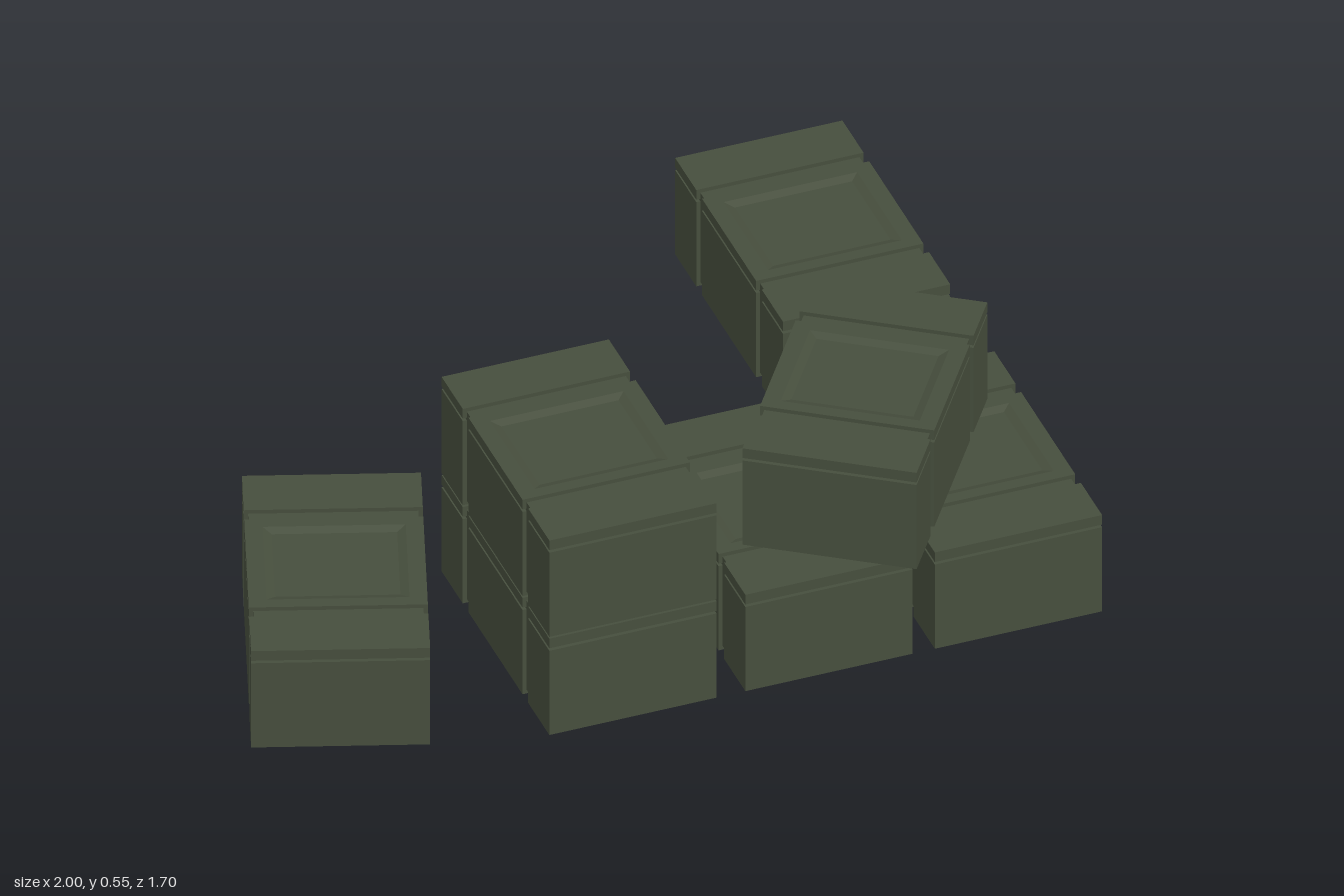
import * as THREE from 'three';

const W = 0.408, H = 0.27, L = 0.685;      // crate size
const SEAM_LOW = 0.236, SEAM_HIGH = 0.243; // gap under the lid
const GROOVE = 0.19, GROOVE_HALF = 0.018;  // strap grooves along the length
const INSET = 0.01;                        // groove depth

// Stacks rectangles [halfX, y, halfZ] from the bottom up, capped at both ends
function loftRects(rects) {
  const pos = [];
  const rings = rects.map(([x, y, z]) => [[-x, y, z], [x, y, z], [x, y, -z], [-x, y, -z]]);
  const quad = (a, b, c, d) => pos.push(...a, ...b, ...c, ...a, ...c, ...d);
  for (let i = 0; i < rings.length - 1; i++) {
    for (let k = 0; k < 4; k++) {
      const n = (k + 1) % 4;
      quad(rings[i][k], rings[i][n], rings[i + 1][n], rings[i + 1][k]);
    }
  }
  quad(...rings[rings.length - 1]);
  quad(...rings[0].slice().reverse());
  const geo = new THREE.BufferGeometry();
  geo.setAttribute('position', new THREE.Float32BufferAttribute(pos, 3));
  geo.computeVertexNormals();
  return geo;
}

const block = (hx, y0, y1, hz) => loftRects([[hx, y0, hz], [hx, y1, hz]]);

export function createModel() {
  const green = new THREE.MeshStandardMaterial({ color: 0x464e3d });
  green.name = 'olive green';

  const hw = W / 2;
  const midHalf = GROOVE - GROOVE_HALF;
  const endHalf = (L / 2 - GROOVE - GROOVE_HALF) / 2;
  const endZ = L / 2 - endHalf;

  const coreGeo = block(hw - INSET, INSET, H - INSET, L / 2 - INSET);
  const endBodyGeo = block(hw, 0, SEAM_LOW, endHalf);
  const endLidGeo = block(hw, SEAM_HIGH, H, endHalf);
  const midBodyGeo = block(hw, 0, SEAM_LOW, midHalf);
  // Middle of the lid with a shallow sunken panel
  const midLidGeo = loftRects([
    [hw, SEAM_HIGH, midHalf], [hw, H, midHalf],
    [0.163, H, 0.142], [0.143, H - 0.007, 0.122],
  ]);

  function makeCrate(name, x, y, z, turn) {
    const crate = new THREE.Group();
    crate.name = name;
    const add = (part, geo, pz = 0) => {
      const mesh = new THREE.Mesh(geo, green);
      mesh.name = part;
      mesh.position.z = pz;
      crate.add(mesh);
    };
    add('core', coreGeo);
    add('middleBody', midBodyGeo);
    add('middleLid', midLidGeo);
    for (const [side, s] of [['front', 1], ['back', -1]]) {
      add(side + 'Body', endBodyGeo, s * endZ);
      add(side + 'Lid', endLidGeo, s * endZ);
    }
    crate.position.set(x, y, z);
    crate.rotation.y = turn;
    return crate;
  }

  const model = new THREE.Group();
  model.name = 'crates';
  const upper = 0.275;
  model.add(
    makeCrate('stackLowerCrate', -0.145, 0, 0.4525, 0),
    makeCrate('stackUpperCrate', -0.145, upper, 0.4525, 0),
    makeCrate('middleCrate', 0.333, 0, 0.4525, 0),
    makeCrate('leftCrate', 0.795, 0, 0.4525, 0),
    makeCrate('backCrate', 0.795, 0, -0.5125, 0),
    makeCrate('turnedGroundCrate', -0.695, 0, 0.341, -0.336),
    makeCrate('turnedTopCrate', 0.553, upper, 0.45, -0.604),
  );
  return model;
}
